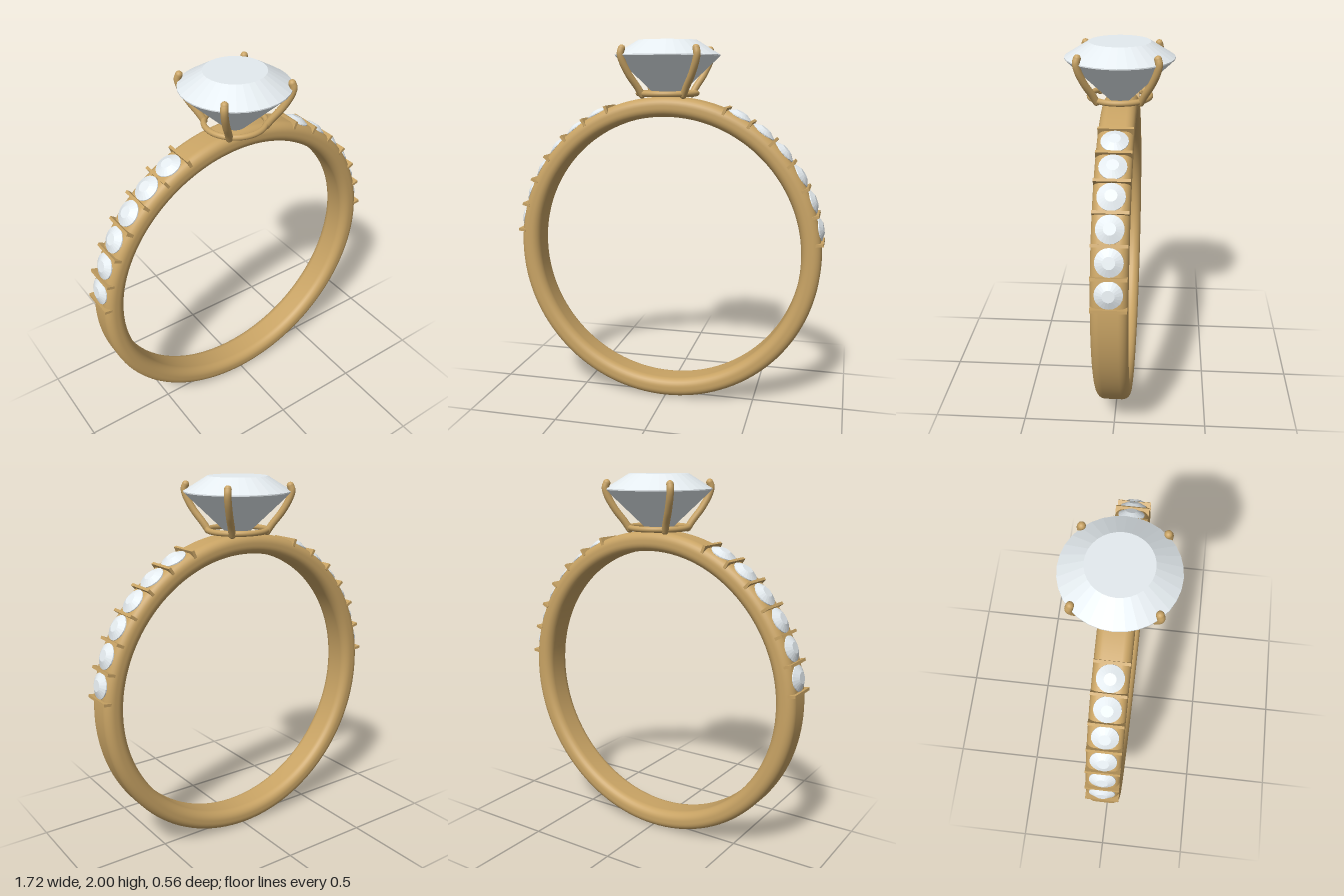
import * as THREE from 'three';

const gold = new THREE.MeshStandardMaterial({ color: 0xc8a364 });
const stone = new THREE.MeshStandardMaterial({ color: 0xe4ebef, flatShading: true });

const CENTER_Y = 0.853, OUTER = 0.851, INNER = 0.745, HALF_WIDTH = 0.09;

function add(parent, name, geometry, material, position = [0, 0, 0]) {
  const mesh = new THREE.Mesh(geometry, material);
  mesh.name = name;
  mesh.position.set(...position);
  parent.add(mesh);
  return mesh;
}

// Rounded-rectangle cross-section, swept counter-clockwise around the finger
function bandGeometry() {
  const r = 0.045, pts = [new THREE.Vector2(INNER, 0)];
  const corners = [
    [INNER + r, -HALF_WIDTH + r, Math.PI],
    [OUTER - r, -HALF_WIDTH + r, Math.PI * 1.5],
    [OUTER - r, HALF_WIDTH - r, 0],
    [INNER + r, HALF_WIDTH - r, Math.PI / 2],
  ];
  for (const [cx, cy, start] of corners) {
    for (let i = 0; i <= 7; i++) {
      const a = start + (i / 7) * Math.PI / 2;
      pts.push(new THREE.Vector2(cx + r * Math.cos(a), cy + r * Math.sin(a)));
    }
  }
  pts.push(new THREE.Vector2(INNER, 0));
  return new THREE.LatheGeometry(pts, 128).rotateX(Math.PI / 2);
}

// Brilliant cut with its girdle at y = 0
function gemGeometry(radius, table, crown, depth, sides) {
  const profile = [[0, -depth], [radius, -0.003], [radius, 0.003], [table, crown], [0, crown]];
  return new THREE.LatheGeometry(profile.map(([x, y]) => new THREE.Vector2(x, y)), sides);
}

export function createModel() {
  const ring = new THREE.Group();
  ring.name = 'ring';

  add(ring, 'band', bandGeometry(), gold, [0, CENTER_Y, 0]);

  // Shoulder stones between separating bars, mirrored on both sides
  const smallGem = gemGeometry(0.068, 0.03, 0.022, 0.05, 20);
  const barGeo = new THREE.BoxGeometry(0.042, 0.015, 0.176);
  const first = 6.1, step = 10.22;
  for (const side of [1, -1]) {
    const shoulder = new THREE.Group();
    shoulder.name = side > 0 ? 'leftShoulder' : 'rightShoulder';
    shoulder.position.y = CENTER_Y;
    ring.add(shoulder);
    const place = (name, geometry, material, degrees, radius, turn) => {
      const d = THREE.MathUtils.degToRad(degrees);
      const a = side > 0 ? d : Math.PI - d;
      const mesh = add(shoulder, name, geometry, material,
        [Math.cos(a) * radius, Math.sin(a) * radius, 0]);
      mesh.rotation.z = a + turn;
    };
    for (let i = 0; i < 7; i++) {
      place('separatorBar', barGeo, gold, first + step * i, 0.845, 0);
      if (i < 6) place('shoulderStone', smallGem, stone, first + step * (i + 0.5), 0.85, -Math.PI / 2);
    }
  }

  // Centre stone and its four-prong setting
  const setting = new THREE.Group();
  setting.name = 'setting';
  ring.add(setting);
  add(setting, 'centreStone', gemGeometry(0.282, 0.158, 0.079, 0.27, 32), stone, [0, 1.921, 0]);
  add(setting, 'baseRing', new THREE.TorusGeometry(0.157, 0.015, 16, 64).rotateX(Math.PI / 2), gold, [0, 1.721, 0]);

  const path = new THREE.CatmullRomCurve3(
    [[0.158, 1.715], [0.185, 1.755], [0.235, 1.82], [0.274, 1.89], [0.284, 1.93], [0.276, 1.953]]
      .map(([x, y]) => new THREE.Vector3(x, y, 0)));
  const prongGeo = new THREE.TubeGeometry(path, 32, 0.019, 14);
  const tipGeo = new THREE.SphereGeometry(0.019, 16, 12);
  for (let i = 0; i < 4; i++) {
    const prong = new THREE.Group();
    prong.name = 'prong';
    prong.rotation.y = Math.PI / 4 + i * Math.PI / 2;
    add(prong, 'prongStem', prongGeo, gold);
    add(prong, 'prongTip', tipGeo, gold, path.getPoint(1).toArray());
    add(prong, 'prongFoot', tipGeo, gold, path.getPoint(0).toArray());
    setting.add(prong);
  }
  return ring;
}
